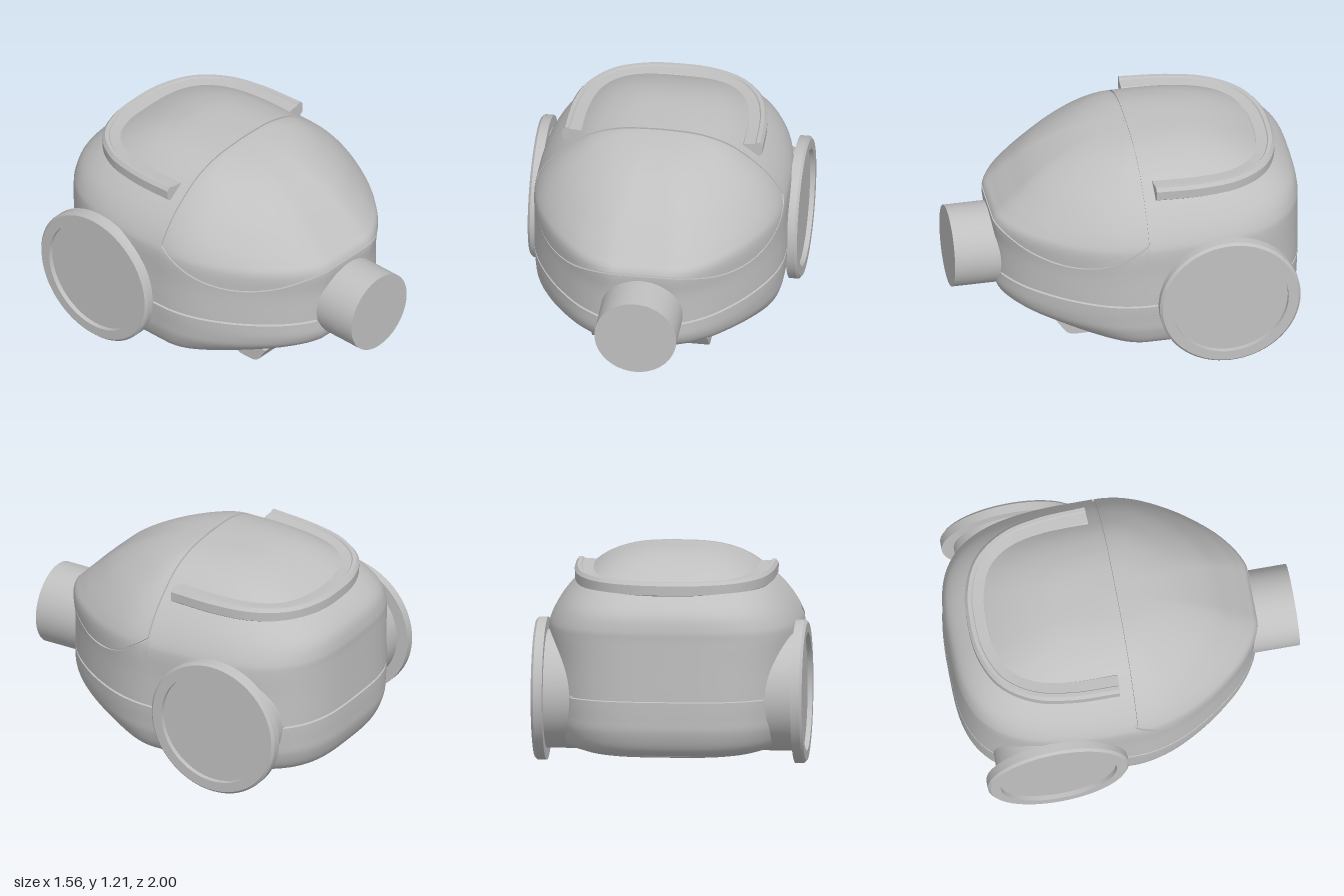
import * as THREE from 'three';
import { toCreasedNormals } from 'three/addons/utils/BufferGeometryUtils.js';

const plastic = new THREE.MeshStandardMaterial({ color: 0xc0c0c0 });
plastic.name = 'grey plastic';

// Horizontal slices of the shell: height, half width, reach forward, reach back
const SLICES = [
  [0.062, 0, 0, 0], [0.067, 0.45, 0.15, 0.75], [0.09, 0.6, 0.35, 0.865],
  [0.13, 0.67, 0.52, 0.915], [0.22, 0.706, 0.72, 0.95], [0.3, 0.716, 0.788, 0.957],
  [0.41, 0.724, 0.793, 0.96], [0.6, 0.722, 0.795, 0.96], [0.75, 0.724, 0.807, 0.96],
  [0.82, 0.71, 0.755, 0.96], [0.91, 0.66, 0.66, 0.935], [1.0, 0.585, 0.56, 0.845],
  [1.08, 0.493, 0.44, 0.715], [1.14, 0.405, 0.32, 0.585], [1.18, 0.305, 0.2, 0.46],
  [1.205, 0.185, 0.07, 0.31], [1.214, 0, 0, 0],
];
const TOP = SLICES.length - 1;
const Z0 = -0.04;      // plane where the lid ends
const GAP = 0.007;     // half width of the panel gaps
const CENTRE = new THREE.Vector3(0, 0.6, -0.1);
// Forward reach of a slice every 15 degrees from the flat nose round to the side
const NOSE = [1, 0.995, 0.871, 0.67, 0.445, 0.225, 0];

// Smooth interpolation through evenly spaced values
function smooth(values, s) {
  const n = values.length - 1;
  const i = Math.min(Math.floor(s), n - 1), u = s - i;
  const a = values[i], b = values[i + 1];
  const ma = i > 0 ? (b - values[i - 1]) / 2 : b - a;
  const mb = i + 2 <= n ? (values[i + 2] - a) / 2 : b - a;
  const u2 = u * u, u3 = u2 * u;
  return a * (2 * u3 - 3 * u2 + 1) + b * (3 * u2 - 2 * u3) + ma * (u3 - 2 * u2 + u) + mb * (u3 - u2);
}
const COLUMNS = [0, 1, 2, 3].map((k) => SLICES.map((s) => s[k]));
const nose = (a) => THREE.MathUtils.clamp(smooth(NOSE, Math.min(6, Math.abs(a) * 12 / Math.PI)), 0, 1);

// Slice parameter at a given height
function level(y) {
  let lo = 0, hi = TOP;
  for (let i = 0; i < 40; i++) {
    const mid = (lo + hi) / 2;
    if (smooth(COLUMNS[0], mid) < y) lo = mid; else hi = mid;
  }
  return lo;
}

// Point on the shell; angle 0 is the front, a quarter turn is the left side
function shellPoint(t, a, shift) {
  const [y, w, f, b] = COLUMNS.map((c) => smooth(c, t));
  const s = Math.sin(a), c = Math.cos(a);
  const front = c >= -1e-9;
  const p = front ? 1 : 2 / 3.2;   // squarer at the back
  const x = Math.max(w, 0) * Math.sign(s) * Math.abs(s) ** p;
  const z = front
    ? Z0 + shift + Math.max(f - shift, 0) * nose(a)
    : Z0 - Math.max(b, 0) * Math.abs(c) ** p;
  return new THREE.Vector3(x, y, z);
}

// Panel of the shell with its edges folded inwards
function panel(name, a0, a1, low, high, cols, rows, { shift = 0, scale = 1 } = {}) {
  const pos = [], index = [];
  const clamp = THREE.MathUtils.clamp;
  for (let i = -1; i <= rows + 1; i++) {
    for (let j = -1; j <= cols + 1; j++) {
      const ci = clamp(i, 0, rows), cj = clamp(j, 0, cols);
      const a = a0 + (a1 - a0) * cj / cols;
      const t = THREE.MathUtils.lerp(low(a), high(a), ci / rows);
      const folded = ci !== i || cj !== j;
      const p = shellPoint(t, a, shift).sub(CENTRE).multiplyScalar(scale * (folded ? 0.97 : 1)).add(CENTRE);
      pos.push(p.x, p.y, p.z);
    }
  }
  const n = cols + 3;
  for (let i = 0; i < rows + 2; i++) {
    for (let j = 0; j < cols + 2; j++) {
      const k = i * n + j;
      index.push(k, k + 1, k + n + 1, k, k + n + 1, k + n);
    }
  }
  const g = new THREE.BufferGeometry();
  g.setAttribute('position', new THREE.Float32BufferAttribute(pos, 3));
  g.setIndex(index);
  return part(name, g);
}

function part(name, geometry) {
  const g = geometry.index ? geometry.toNonIndexed() : geometry;
  g.deleteAttribute('uv');
  const mesh = new THREE.Mesh(toCreasedNormals(g, 0.6), plastic);
  mesh.name = name;
  return mesh;
}

// Lower edge of the lid, dipping along the sides
const lidEdge = (a) => smooth([0.83, 0.725, 0.665, 0.648, 0.675, 0.747], 5 * nose(a));

function buildShell(group) {
  const q = Math.PI / 2;
  const at = (y) => { const t = level(y); return () => t; };
  const floor = () => 0, crown = () => TOP;
  group.add(
    panel('innerCore', -q, 3 * q, floor, crown, 96, 60, { scale: 0.983 }),
    panel('lowerShell', -q, 3 * q, floor, at(0.412 - GAP), 128, 32),
    panel('frontBand', -q, q, at(0.412 + GAP), (a) => level(lidEdge(a) - GAP), 64, 12),
    panel('rearShell', q, 3 * q, at(0.412 + GAP), crown, 72, 48),
    panel('lid', -q, q, (a) => level(lidEdge(a) + GAP), crown, 64, 40, { shift: 0.014 }),
  );
}

// Carrying handle: a profile swept around a U
function buildHandle(group) {
  const half = [[0.514, -0.105], [0.502, -0.38], [0.455, -0.58], [0.345, -0.73], [0.18, -0.805]];
  const points = [
    ...half.map(([x, z]) => new THREE.Vector3(-x, 0, z)),
    new THREE.Vector3(0, 0, -0.822),
    ...half.slice().reverse().map(([x, z]) => new THREE.Vector3(x, 0, z)),
  ];
  const path = new THREE.CatmullRomCurve3(points);
  const profile = new THREE.Shape([
    [0.045, -0.09], [0.064, -0.075], [0.066, -0.02], [0.05, 0], [0.028, 0], [0.022, -0.008],
    [-0.042, -0.012], [-0.066, -0.04], [-0.066, -0.09],
  ].map(([x, y]) => new THREE.Vector2(x, y)));
  const g = new THREE.ExtrudeGeometry(profile, { depth: 1, steps: 64, bevelEnabled: false });
  const pos = g.attributes.position;
  for (let i = 0; i < pos.count; i++) {
    const s = THREE.MathUtils.clamp(pos.getZ(i), 0, 1), u = pos.getX(i);
    const p = path.getPointAt(s), t = path.getTangentAt(s);
    pos.setXYZ(i, p.x + t.z * u, pos.getY(i) + 1.12 + (p.z + 0.1) * 0.05, p.z - t.x * u);
  }
  group.add(part('handle', g));
}

// Large rear wheels with a recessed disc and a hub reaching into the shell
function buildWheels(group) {
  const profile = [
    [0.34, 0.5], [0.34, 0.713], [0.41, 0.713], [0.41, 0.764], [0.396, 0.778],
    [0.338, 0.778], [0.338, 0.75], [0, 0.75],
  ].map(([r, h]) => new THREE.Vector2(r, h));
  for (const side of [1, -1]) {
    const wheel = part(side > 0 ? 'leftWheel' : 'rightWheel', new THREE.LatheGeometry(profile, 72));
    wheel.rotation.z = -side * Math.PI / 2;
    wheel.position.set(0, 0.412, -0.5);
    group.add(wheel);
  }
}

export function createModel() {
  const group = new THREE.Group();
  group.name = 'vacuumCleaner';
  buildShell(group);
  buildHandle(group);
  buildWheels(group);

  // Hose socket
  const socket = part('hoseSocket', new THREE.CylinderGeometry(0.236, 0.236, 0.3, 64));
  socket.rotation.x = Math.PI / 2;
  socket.position.set(0, 0.475, 0.85);
  group.add(socket);

  // Front skid under the nose
  const skid = new THREE.Shape();
  skid.moveTo(0.2, 0.105);
  skid.lineTo(0.2, 0.04);
  skid.quadraticCurveTo(0.21, 0, 0.25, 0);
  skid.lineTo(0.31, 0);
  skid.quadraticCurveTo(0.36, 0, 0.38, 0.03);
  skid.lineTo(0.43, 0.105);
  const skidGeometry = new THREE.ExtrudeGeometry(skid, { depth: 0.676, bevelEnabled: false });
  skidGeometry.rotateY(-Math.PI / 2).translate(0.338, 0, 0);
  group.add(part('frontSkid', skidGeometry));
  return group;
}
